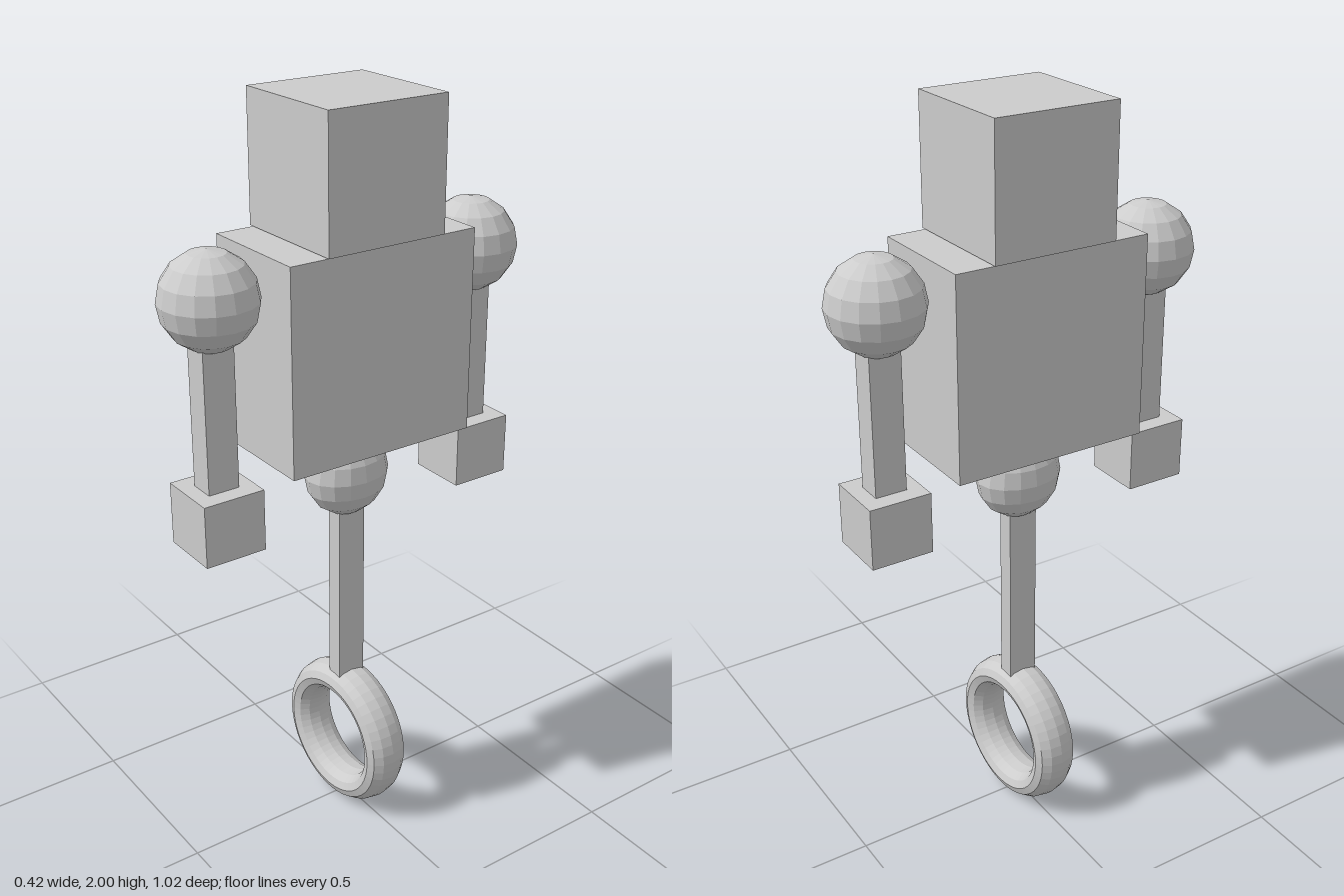
import * as THREE from 'three';

export function createModel() {
  const model = new THREE.Group();
  const grey = new THREE.MeshStandardMaterial({ color: 0xcccccc, flatShading: true });
  grey.name = 'light grey';

  const add = (name, geometry, x, y, z) => {
    const mesh = new THREE.Mesh(geometry, grey);
    mesh.name = name;
    mesh.position.set(x, y, z);
    model.add(mesh);
    return mesh;
  };
  // Box given by its bottom and top heights
  const block = (name, width, depth, bottom, top, z = 0) =>
    add(name, new THREE.BoxGeometry(width, top - bottom, depth), 0, (bottom + top) / 2, z);
  const ball = (name, radius, y, z = 0) =>
    add(name, new THREE.SphereGeometry(radius, 16, 8), 0, y, z);

  // Head and torso
  block('head', 0.335, 0.335, 1.667, 2);
  block('torso', 0.32, 0.535, 1.134, 1.665);

  // Arms hang at the front and back of the torso
  for (const [end, s] of [['front', 1], ['back', -1]]) {
    const z = s * 0.388;
    ball(end + 'Shoulder', 0.123, 1.567, z);
    block(end + 'Arm', 0.07, 0.085, 1.08, 1.52, z);
    block(end + 'Hand', 0.166, 0.168, 0.925, 1.09, z);
  }

  // Single leg below a narrow hip joint
  ball('hip', 0.118, 1.024).scale.x = 0.77;
  block('leg', 0.048, 0.08, 0.405, 0.96);

  // Wide wheel, turned very slightly
  const tyre = new THREE.TorusGeometry(0.169, 0.041, 12, 48).scale(1, 1, 1.5);
  add('wheel', tyre, 0, 0.211, 0).rotation.y = 0.05;

  return model;
}
